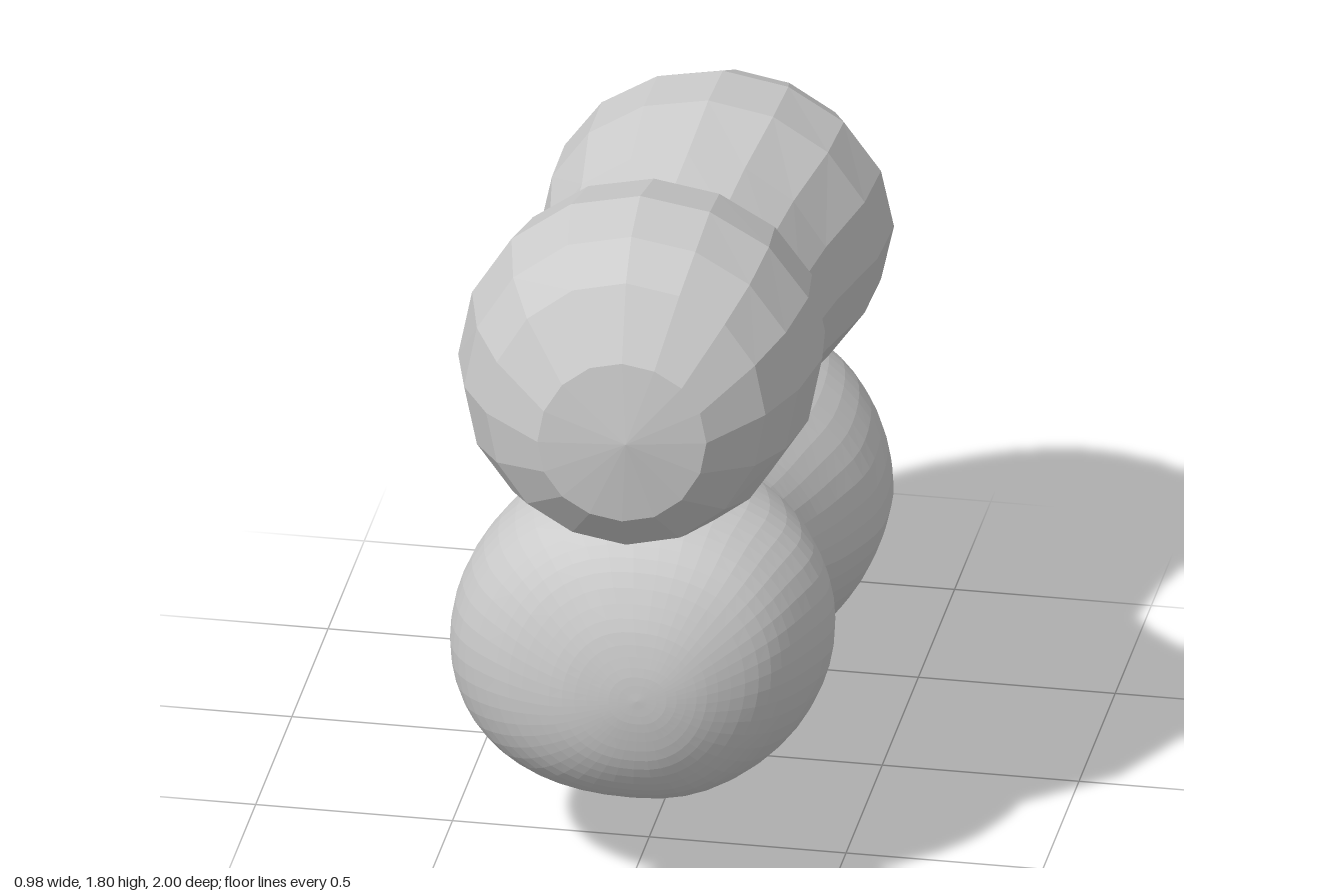
import * as THREE from 'three';

// Each section of a lobe pair: [z, left x, right x, bottom y, top y], front to back
const UPPER = [
  [0.99, 0.03, 0.03, 1.34, 1.34],
  [0.96, -0.2, 0.23, 1.11, 1.55],
  [0.85, -0.35, 0.36, 0.99, 1.72],
  [0.72, -0.43, 0.42, 0.94, 1.785],
  [0.53, -0.48, 0.445, 0.91, 1.805],
  [0.3, -0.46, 0.41, 0.91, 1.74],
  [0.12, -0.43, 0.34, 0.87, 1.61],
  [-0.05, -0.41, 0.31, 0.81, 1.51],
  [-0.25, -0.42, 0.34, 0.79, 1.54],
  [-0.48, -0.46, 0.4, 0.77, 1.575],
  [-0.68, -0.465, 0.405, 0.77, 1.56],
  [-0.85, -0.39, 0.33, 0.82, 1.48],
  [-0.95, -0.24, 0.2, 0.95, 1.36],
  [-0.99, -0.02, -0.02, 1.17, 1.17],
];
const LOWER = [
  [1.0, 0.06, 0.06, 0.63, 0.63],
  [0.992, -0.04, 0.16, 0.54, 0.72],
  [0.96, -0.17, 0.26, 0.42, 0.84],
  [0.88, -0.32, 0.38, 0.31, 0.97],
  [0.75, -0.44, 0.45, 0.24, 1.03],
  [0.57, -0.49, 0.485, 0.2, 1.04],
  [0.35, -0.465, 0.42, 0.195, 1.0],
  [0.15, -0.42, 0.34, 0.195, 0.92],
  [0, -0.38, 0.3, 0.165, 0.83],
  [-0.15, -0.38, 0.32, 0.11, 0.81],
  [-0.3, -0.42, 0.36, 0.04, 0.82],
  [-0.5, -0.455, 0.41, 0.002, 0.83],
  [-0.7, -0.44, 0.4, 0.03, 0.84],
  [-0.85, -0.36, 0.33, 0.11, 0.81],
  [-0.95, -0.21, 0.2, 0.26, 0.68],
  [-0.99, -0.095, 0.095, 0.38, 0.58],
  [-1.0, 0, 0, 0.48, 0.48],
];

// Loft rounded rings through the sections. The front lobe leans up to its left;
// fullness squares its shoulders, taper narrows the underside of the back lobe.
function loft(keys, rings, sides, { lean, fullness, taper }) {
  const curve = (a, b) => new THREE.CatmullRomCurve3(
    keys.map((k) => new THREE.Vector3(k[0], k[a], k[b])), false, 'catmullrom');
  const widths = curve(1, 2), heights = curve(3, 4);
  const pos = [], index = [];
  for (let i = 0; i <= rings; i++) {
    const { x: z, y: left, z: right } = widths.getPoint(i / rings);
    const { y: bottom, z: top } = heights.getPoint(i / rings);
    const front = THREE.MathUtils.smoothstep(z, -0.3, 0.5);
    const halfW = (right - left) / 2, halfH = (top - bottom) / 2;
    for (let j = 0; j < sides; j++) {
      const a = (j / sides) * Math.PI * 2, s = Math.sin(a), c = Math.cos(a);
      const round = Math.sign(s) * Math.abs(s) ** (1 - fullness * front);
      const narrow = 1 - taper * (1 - front) * Math.max(0, -c);
      pos.push(
        (left + right) / 2 + halfW * round * narrow,
        (bottom + top) / 2 + halfH * (c + lean * front * s * Math.abs(s)),
        z);
    }
  }
  for (let i = 0; i < rings; i++) {
    for (let j = 0; j < sides; j++) {
      const a = i * sides + j, b = i * sides + ((j + 1) % sides);
      const c = a + sides, d = b + sides;
      if (i > 0) index.push(a, b, c);
      if (i < rings - 1) index.push(b, d, c);
    }
  }
  const geo = new THREE.BufferGeometry();
  geo.setAttribute('position', new THREE.Float32BufferAttribute(pos, 3));
  geo.setIndex(index);
  geo.computeVertexNormals();
  return geo;
}

export function createModel() {
  const group = new THREE.Group();
  group.name = 'stackedLobes';
  const material = new THREE.MeshStandardMaterial({ color: 0xcccccc, flatShading: true });

  // Coarse upper body
  const upper = new THREE.Mesh(
    loft(UPPER, UPPER.length - 1, 16, { lean: 0.08, fullness: 0, taper: 0 }), material);
  upper.name = 'upperBody';

  // Fine lower body
  const lower = new THREE.Mesh(
    loft(LOWER, (LOWER.length - 1) * 4, 48, { lean: 0.12, fullness: 0.15, taper: 0.15 }), material);
  lower.name = 'lowerBody';

  group.add(upper, lower);
  return group;
}
